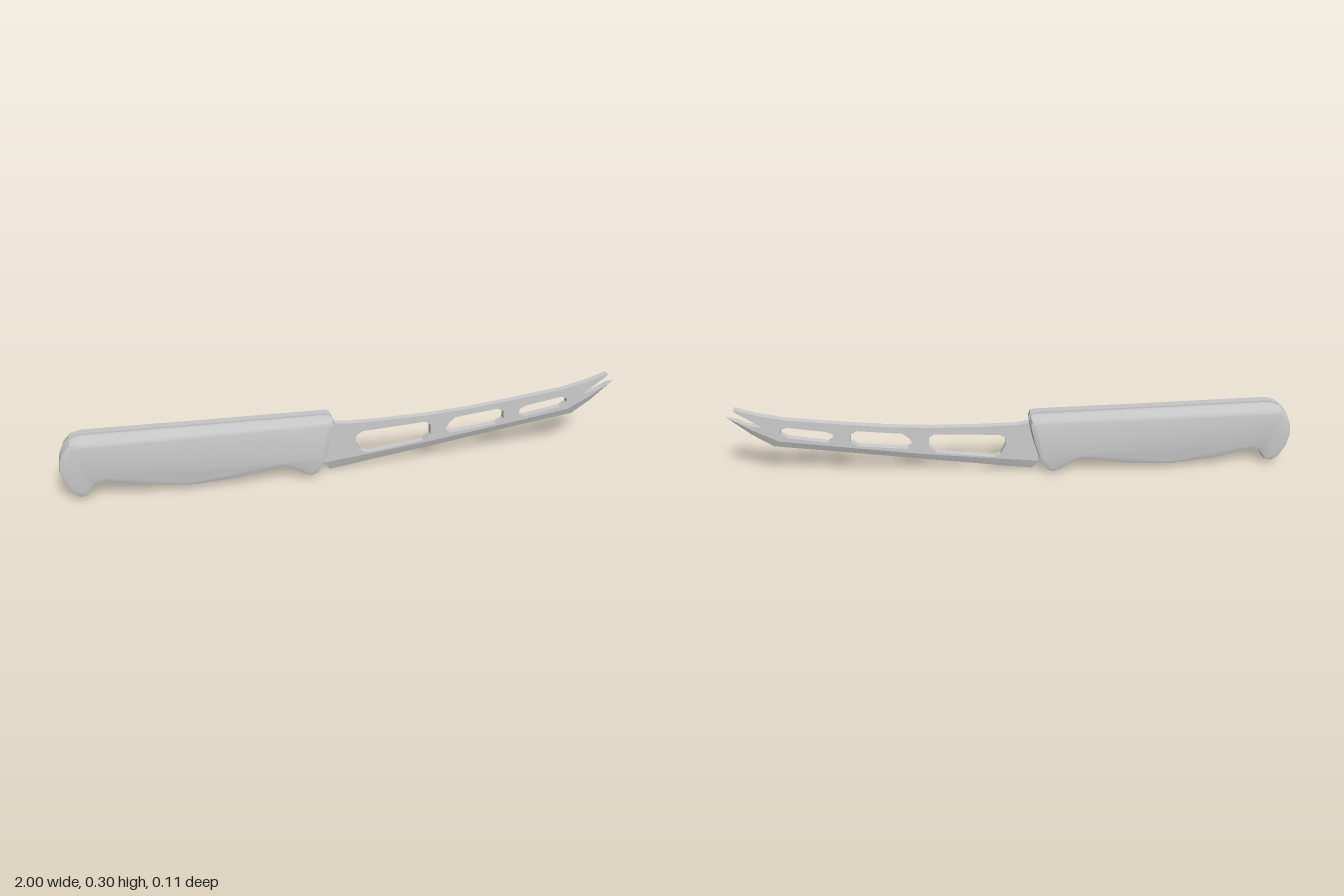
import * as THREE from 'three';
import { toCreasedNormals } from 'three/addons/utils/BufferGeometryUtils.js';

const T = 0.0115; // half thickness of the blade steel
const steel = new THREE.MeshStandardMaterial({ color: 0xcccccc });
const grip = new THREE.MeshStandardMaterial({ color: 0xcccccc });

const toPoints = (list) => list.map(([x, y]) => new THREE.Vector2(x, y));

// Handle outline, counter-clockwise from the front
const HANDLE = toPoints([
  [-1, 0.12], [-0.99, 0.07], [-0.965, 0.025], [-0.94, 0.008], [-0.912, 0.012],
  [-0.897, 0.035], [-0.88, 0.055], [-0.85, 0.062], [-0.81, 0.054], [-0.74, 0.033],
  [-0.56, 0.015], [-0.4, 0.025], [-0.28, 0.047], [-0.235, 0.054], [-0.2, 0.042],
  [-0.16, 0.014], [-0.13, 0.005], [-0.105, 0.016], [-0.08, 0.065], [-0.06, 0.13],
  [-0.045, 0.2], [-0.052, 0.219], [-0.07, 0.223], [-0.5, 0.225], [-0.92, 0.228],
  [-0.955, 0.218], [-0.982, 0.19], [-0.995, 0.16],
]);

// Move an outline inwards by d along its mitred corner normals
function inset(points, d) {
  const n = points.length;
  return points.map((p, i) => {
    const a = p.clone().sub(points[(i + n - 1) % n]).normalize();
    const b = points[(i + 1) % n].clone().sub(p).normalize();
    const m = new THREE.Vector2(-a.y - b.y, a.x + b.x).normalize();
    const k = d / Math.max(0.6, -m.x * b.y + m.y * b.x);
    return p.clone().addScaledVector(m, k);
  });
}

function geometryFrom(positions, index, crease) {
  const g = new THREE.BufferGeometry();
  g.setAttribute('position', new THREE.Float32BufferAttribute(positions, 3));
  g.setIndex(index);
  return toCreasedNormals(g, crease);
}

// Closed solid through inset copies of an outline; layers are [z, inset], z rising
function loft(points, layers) {
  const n = points.length, positions = [], index = [];
  const rings = layers.map(([, d]) => inset(points, d));
  rings.forEach((ring, k) => ring.forEach((p) => positions.push(p.x, p.y, layers[k][0])));
  for (let k = 0; k < layers.length - 1; k++) {
    for (let i = 0; i < n; i++) {
      const a = k * n + i, b = k * n + ((i + 1) % n);
      index.push(a, b, b + n, a, b + n, a + n);
    }
  }
  const last = (layers.length - 1) * n;
  for (const [a, b, c] of THREE.ShapeUtils.triangulateShape(rings[0], [])) index.push(c, b, a);
  for (const [a, b, c] of THREE.ShapeUtils.triangulateShape(rings.at(-1), [])) {
    index.push(last + a, last + b, last + c);
  }
  return geometryFrom(positions, index, 0.4);
}

// Where the flat of the blade ends, and the sharp edge below it
const BEVEL = [[-0.08, 0.035], [0.3, 0.082], [0.6, 0.128], [0.83, 0.165], [0.91, 0.21], [0.975, 0.254]];
const EDGE = [[-0.06, 0], [0.3, 0.055], [0.6, 0.102], [0.85, 0.14], [0.92, 0.19], [1, 0.265]];
// Forked tip, then the spine back to the handle
const SPINE = [
  [0.93, 0.232], [0.88, 0.222], [0.915, 0.248], [0.968, 0.287], [0.97, 0.296],
  [0.9, 0.271], [0.8, 0.247], [0.6, 0.22], [0.45, 0.202], [0.3, 0.191], [0.12, 0.186],
  [0, 0.186], [-0.03, 0.19], [-0.08, 0.2],
];
const SLOTS = [
  [[0.035, 0.11], [0.036, 0.135], [0.06, 0.15], [0.29, 0.165], [0.308, 0.152],
    [0.31, 0.112], [0.285, 0.089], [0.08, 0.06], [0.055, 0.07]],
  [[0.365, 0.125], [0.378, 0.153], [0.402, 0.173], [0.56, 0.192], [0.583, 0.178],
    [0.583, 0.148], [0.555, 0.13], [0.385, 0.11]],
  [[0.64, 0.165], [0.644, 0.183], [0.665, 0.194], [0.8, 0.218], [0.822, 0.208],
    [0.822, 0.193], [0.8, 0.177], [0.66, 0.15]],
];

// Flat of the blade with its three slots
function bladeGeometry() {
  const shape = new THREE.Shape(toPoints([...BEVEL, ...SPINE]));
  shape.holes = SLOTS.map((slot) => new THREE.Path(toPoints(slot)));
  const g = new THREE.ExtrudeGeometry(shape, { depth: 2 * T, bevelEnabled: false });
  g.translate(0, 0, -T);
  return toCreasedNormals(g, 0.4);
}

// Wedge that thins the blade down to its cutting edge
function edgeGeometry() {
  const positions = [], index = [];
  BEVEL.forEach(([x, y], i) => {
    positions.push(x, y, T, ...EDGE[i], 0, x, y, -T);
    if (i === BEVEL.length - 1) return;
    const a = 3 * i, b = a + 3;
    index.push(a + 1, b + 1, b, a + 1, b, a);
    index.push(a + 1, b + 2, b + 1, a + 1, a + 2, b + 2);
  });
  const e = 3 * (BEVEL.length - 1);
  index.push(2, 1, 0, e, e + 1, e + 2);
  return geometryFrom(positions, index, 0.2);
}

export function createModel() {
  const model = new THREE.Group();
  model.name = 'cheeseKnife';
  const add = (name, geometry, material) => {
    const mesh = new THREE.Mesh(geometry, material);
    mesh.name = name;
    model.add(mesh);
  };

  add('blade', bladeGeometry(), steel);
  add('cuttingEdge', edgeGeometry(), steel);
  // Tang, set slightly back between the two grip scales
  add('tang', loft(HANDLE, [[-T, 0.006], [T, 0.006]]), steel);

  const layers = [[T, 0], [0.049, 0.005], [0.0535, 0.018]];
  add('frontScale', loft(HANDLE, layers), grip);
  add('backScale', loft(HANDLE, layers.map(([z, d]) => [-z, d]).reverse()), grip);
  return model;
}
